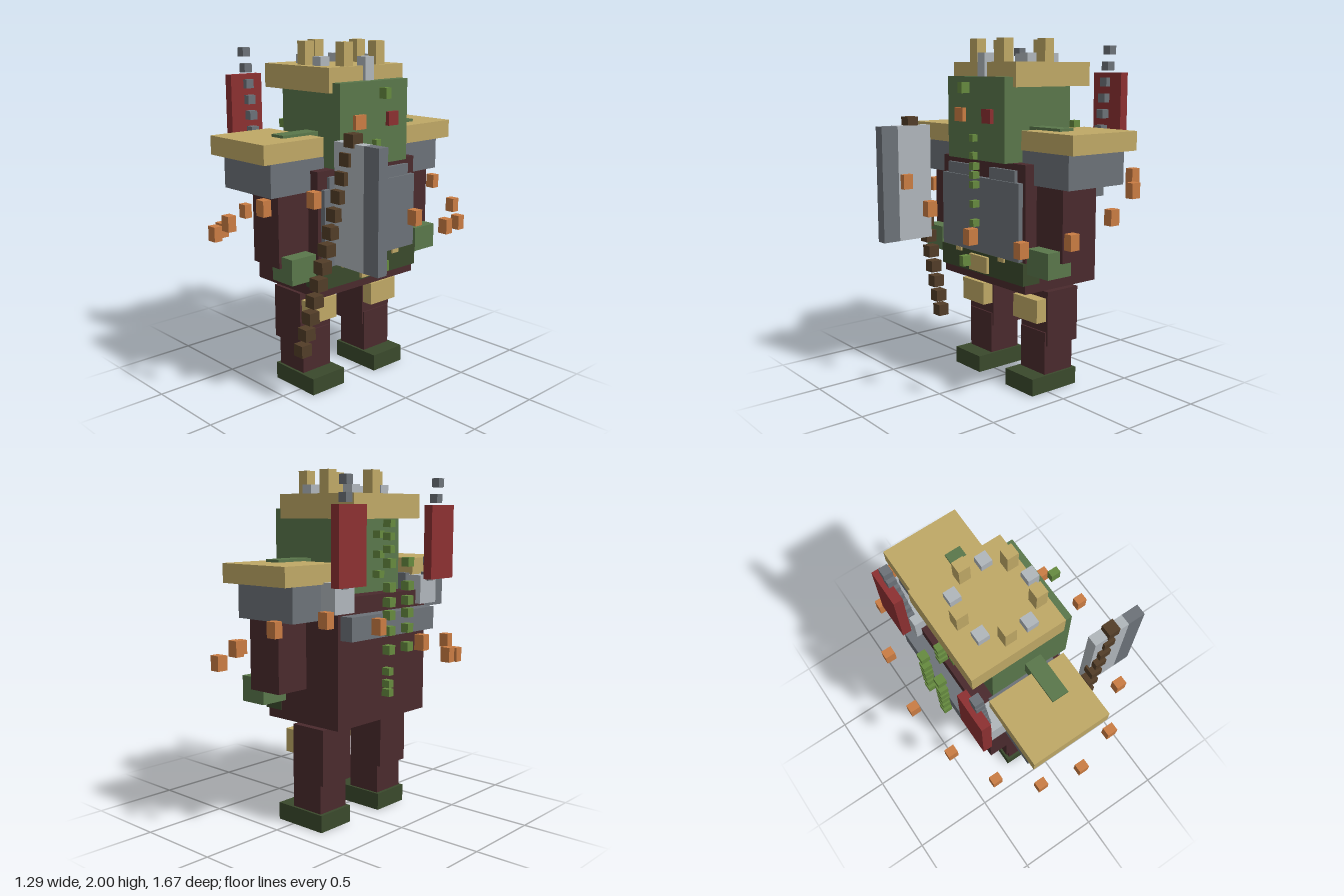
import * as THREE from 'three';

const mat = (name, color) => {
  const m = new THREE.MeshStandardMaterial({ color });
  m.name = name;
  return m;
};

export function createModel() {
  const model = new THREE.Group();
  model.name = 'armouredOgre';

  const maroon = mat('maroon cloth', 0x4a2a2d);
  const skin = mat('green skin', 0x5a774b);
  const darkGreen = mat('dark green leather', 0x3a492c);
  const gold = mat('dull gold', 0xbfa866);
  const steel = mat('steel', 0x6c7278);
  const silver = mat('silver', 0xb0b6bb);
  const red = mat('red', 0x8c3031);
  const orange = mat('orange', 0xca7c43);
  const vine = mat('vine green', 0x668a3f);
  const brown = mat('brown', 0x523d28);

  // Box given by its lower and upper bounds on each axis
  const box = (name, m, x0, x1, y0, y1, z0, z1) => {
    const mesh = new THREE.Mesh(new THREE.BoxGeometry(x1 - x0, y1 - y0, z1 - z0), m);
    mesh.position.set((x0 + x1) / 2, (y0 + y1) / 2, (z0 + z1) / 2);
    mesh.name = name;
    model.add(mesh);
  };
  // The same box on both sides of the body
  const pair = (name, m, x0, x1, y0, y1, z0, z1) => {
    box(name, m, x0, x1, y0, y1, z0, z1);
    box(name, m, x0, x1, y0, y1, -z1, -z0);
  };
  // Small block given by its centre and size
  const block = (name, m, x, y, z, w, h = w, d = w) =>
    box(name, m, x - w / 2, x + w / 2, y - h / 2, y + h / 2, z - d / 2, z + d / 2);

  // Legs
  pair('boot', darkGreen, -0.22, 0.115, 0, 0.1, 0.127, 0.367);
  pair('shin', maroon, -0.2, 0.01, 0.1, 0.35, 0.142, 0.352);
  pair('thigh', maroon, -0.23, 0, 0.27, 0.59, 0.133, 0.363);
  pair('kneePad', gold, -0.02, 0.07, 0.415, 0.55, 0.142, 0.35);

  // Torso, armour and belt
  box('torso', maroon, -0.355, 0.18, 0.61, 1.325, -0.378, 0.378);
  box('chestPlate', steel, 0.1, 0.21, 0.79, 1.225, -0.355, 0.355);
  pair('collarPlate', steel, 0.12, 0.2, 1.2, 1.29, 0.085, 0.31);
  box('belt', darkGreen, 0.08, 0.2, 0.66, 0.785, -0.382, 0.382);
  box('buckle', gold, 0.18, 0.22, 0.675, 0.77, -0.083, 0.083);
  pair('beltStud', gold, 0.17, 0.212, 0.767, 0.79, 0.175, 0.227);

  // Arms and shoulders
  pair('arm', maroon, -0.12, 0.1, 0.81, 1.3, 0.37, 0.587);
  pair('hand', skin, 0.02, 0.187, 0.73, 0.875, 0.4, 0.57);
  pair('shoulderGuard', steel, -0.29, 0.12, 1.21, 1.42, 0.28, 0.648);
  pair('shoulderCap', gold, -0.31, 0.16, 1.4, 1.505, 0.317, 0.72);

  // Head
  box('head', skin, -0.25, 0.23, 1.325, 1.79, -0.26, 0.26);
  pair('ear', skin, -0.045, 0.053, 1.42, 1.52, 0.24, 0.507);
  box('leftEye', orange, 0.2, 0.255, 1.537, 1.615, 0.088, 0.166);
  box('rightEye', red, 0.2, 0.255, 1.537, 1.615, -0.166, -0.088);

  // Crown: a brim with alternating short silver and tall gold spikes
  box('crownBrim', gold, -0.38, 0.17, 1.735, 1.87, -0.283, 0.283);
  for (let i = 0; i < 10; i++) {
    const a = (i / 10) * Math.PI * 2;
    const x = -0.053 + 0.208 * Math.cos(a), z = 0.208 * Math.sin(a);
    if (i % 2) block('tallSpike', gold, x, 1.92, z, 0.066, 0.16);
    else block('shortSpike', silver, x, 1.855, z, 0.066, 0.13);
  }

  // Back pack: boiler bar, exhaust boxes, red banners and smoke
  box('backBar', steel, -0.435, -0.305, 1.1, 1.23, -0.36, 0.36);
  pair('exhaust', silver, -0.39, -0.29, 1.245, 1.41, 0.29, 0.44);
  pair('banner', red, -0.468, -0.415, 1.39, 1.81, 0.285, 0.497);
  for (const s of [-1, 1])
    for (let i = 0; i < 7; i++)
      block('smoke', steel, -0.425 + 0.008 * i, 1.935 - 0.089 * i, s * (0.396 - 0.004 * i), 0.05);

  // Vines hanging down the back and the front
  for (const y of [1.5, 1.37, 1.29, 1.22, 1.135, 1.03])
    for (const z of [-0.08, 0.08]) block('backVine', vine, -0.457, y, z, 0.05);
  for (const y of [1.71, 1.64, 1.57, 0.89, 0.82, 0.77])
    block('backVine', vine, -0.388, y, 0, 0.052, 0.042, 0.04);
  for (const y of [1.65, 1.54, 1.43]) block('backVine', vine, -0.315, y, 0, 0.05, 0.04, 0.04);
  for (const y of [1.45, 1.35, 1.29, 1.24, 1.185, 1.075, 0.965])
    block('frontVine', vine, 0.24, y, 0, 0.046, 0.04, 0.036);
  for (const y of [1.73, 0.755]) block('frontVine', vine, 0.31, y, 0, 0.053, 0.06, 0.038);

  // Cleaver: broad blade with a darker edge and a stepped handle
  box('blade', silver, 0.32, 0.54, 0.845, 1.51, 0.32, 0.385);
  box('bladeEdge', steel, 0.54, 0.645, 0.845, 1.51, 0.32, 0.385);
  for (let i = 0; i < 13; i++)
    block('handle', brown, 0.435 - 0.0233 * i, 1.525 - 0.0996 * i, 0.358 + 0.0098 * i, 0.07);

  // Ring of floating embers that waves up and down
  for (let i = 0; i < 16; i++) {
    const a = (i / 16) * Math.PI * 2;
    block('ember', orange, -0.038 + 0.58 * Math.cos(a), 1.08 + 0.158 * Math.sin(2 * a),
      0.808 * Math.sin(a), 0.06, 0.085, 0.05);
  }
  return model;
}
